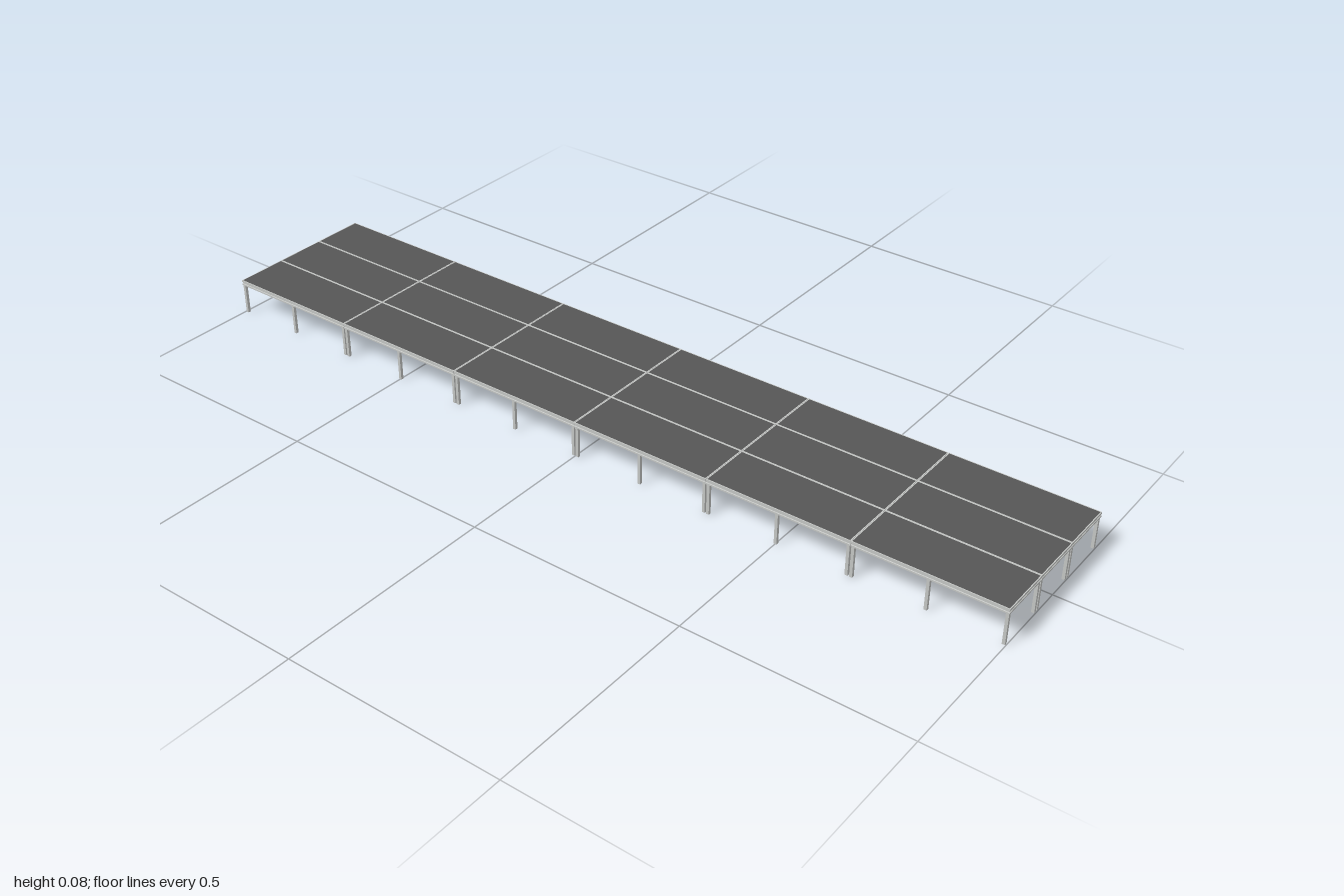
import * as THREE from 'three';

const COLS = 6, ROWS = 3;
const W = 2 / COLS, D = 0.374 / ROWS;   // one deck module
const TOP = 0.084, RAIL_Y = 0.072;
const LEG = 0.0066, INSET = 0.0018;

// Mitred rectangular frame: a closed profile of [inset, y] swept round four corners
function frameGeometry(w, d, profile) {
  const pos = [];
  const corners = [[1, 1], [1, -1], [-1, -1], [-1, 1]];
  const at = ([sx, sz], [inset, y]) => [sx * (w / 2 - inset), y, sz * (d / 2 - inset)];
  for (let c = 0; c < 4; c++) {
    const a = corners[c], b = corners[(c + 1) % 4];
    profile.forEach((p, i) => {
      const q = profile[(i + 1) % profile.length];
      const A = at(a, p), B = at(b, p), C = at(b, q), E = at(a, q);
      pos.push(...A, ...B, ...C, ...A, ...C, ...E);
    });
  }
  const g = new THREE.BufferGeometry();
  g.setAttribute('position', new THREE.Float32BufferAttribute(pos, 3));
  g.computeVertexNormals();
  return g;
}

export function createModel() {
  const aluminium = new THREE.MeshStandardMaterial({ color: 0xc4c6c4 });
  aluminium.name = 'aluminium';
  const boardGrey = new THREE.MeshStandardMaterial({ color: 0x565656 });
  boardGrey.name = 'board grey';

  // Rail section, from the bottom outside edge up, with a shallow outer groove
  const frameGeo = frameGeometry(W - 0.0006, D - 0.0006, [
    [0, RAIL_Y], [0, 0.0755], [0.0014, 0.0763], [0.0014, 0.0787], [0, 0.0795],
    [0, TOP], [0.0022, TOP], [0.0022, 0.081], [0.005, 0.081], [0.005, RAIL_Y],
  ]);
  const boardGeo = new THREE.BoxGeometry(W - 0.005, 0.003, D - 0.005);
  const legHeight = 0.08;
  const legGeo = new THREE.BoxGeometry(LEG, legHeight, LEG);

  const model = new THREE.Group();
  model.name = 'stagePlatform';

  const add = (parent, name, geo, mat, x = 0, y = 0, z = 0) => {
    const mesh = new THREE.Mesh(geo, mat);
    mesh.name = name;
    mesh.position.set(x, y, z);
    parent.add(mesh);
  };

  for (let i = 0; i < COLS; i++) {
    for (let j = 0; j < ROWS; j++) {
      const deck = new THREE.Group();
      deck.name = 'deckModule';
      deck.position.set((i - (COLS - 1) / 2) * W, 0, (j - (ROWS - 1) / 2) * D);
      add(deck, 'railFrame', frameGeo, aluminium);
      add(deck, 'deckBoard', boardGeo, boardGrey, 0, TOP - 0.0016, 0);

      // Legs at the corners and in the middle of each long side
      const lx = W / 2 - INSET - LEG / 2, lz = D / 2 - INSET - LEG / 2;
      for (const sx of [-1, 0, 1]) {
        for (const sz of [-1, 1]) {
          add(deck, sx ? 'cornerLeg' : 'middleLeg', legGeo, aluminium, sx * lx, legHeight / 2, sz * lz);
        }
      }
      model.add(deck);
    }
  }
  return model;
}
